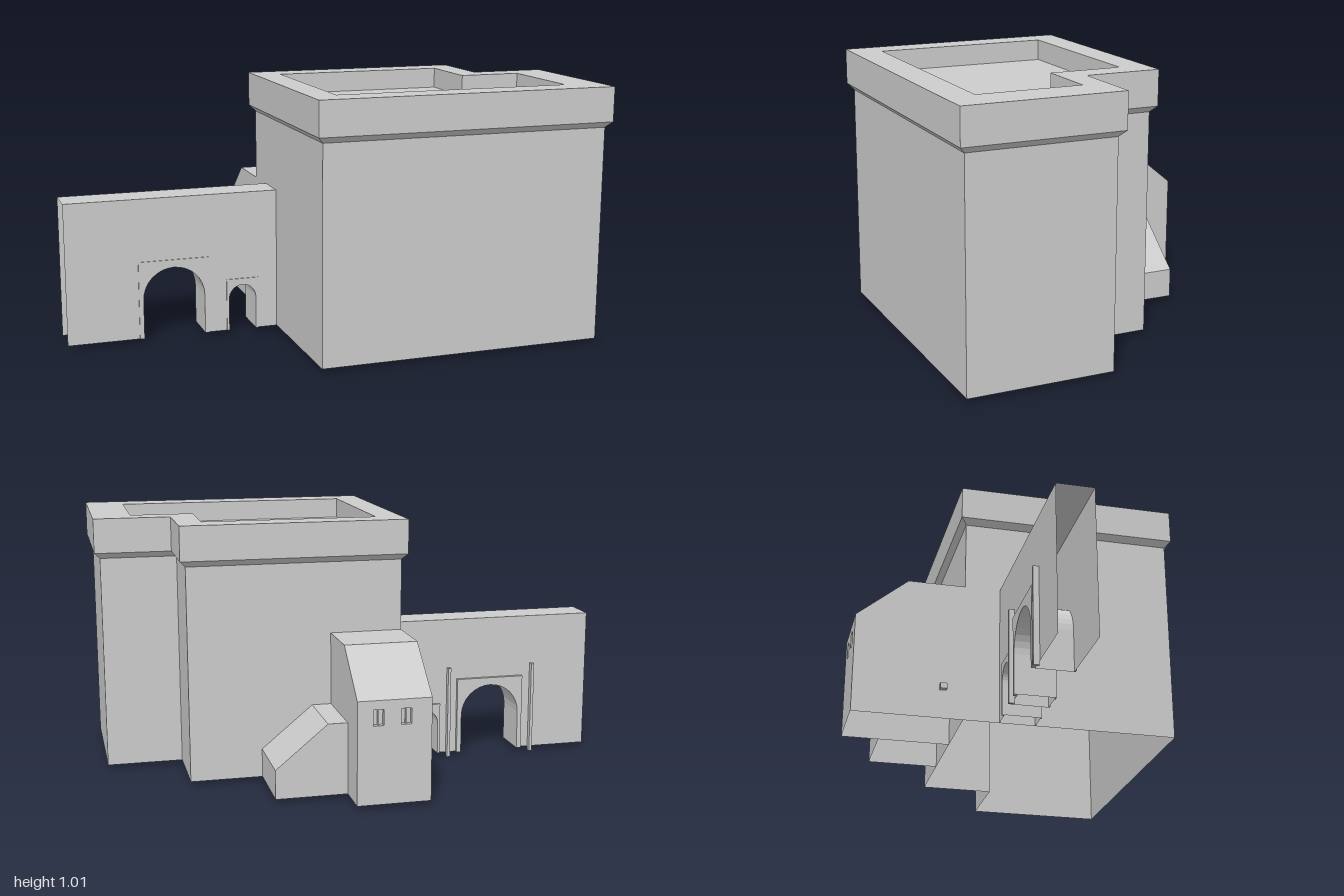
import * as THREE from 'three';

const material = new THREE.MeshStandardMaterial({ color: 0xcccccc, side: THREE.DoubleSide, flatShading: true });
const GROUND = 0.015;

function add(parent, name, geometry) {
  const mesh = new THREE.Mesh(geometry, material);
  mesh.name = name;
  parent.add(mesh);
  return mesh;
}

// Flat convex polygons (corners counter-clockwise from outside)
function faces(polygons) {
  const pos = [];
  for (const p of polygons)
    for (let i = 1; i < p.length - 1; i++) pos.push(...p[0], ...p[i], ...p[i + 1]);
  const g = new THREE.BufferGeometry();
  g.setAttribute('position', new THREE.Float32BufferAttribute(pos, 3));
  g.computeVertexNormals();
  return g;
}

// Shell through a stack of rings with equal corner counts
function loft(rings) {
  const quads = [];
  for (let r = 0; r < rings.length - 1; r++) {
    const a = rings[r], b = rings[r + 1];
    a.forEach((p, i) => {
      const j = (i + 1) % a.length;
      quads.push([p, a[j], b[j], b[i]]);
    });
  }
  return faces(quads);
}

// Round arch from left foot to right foot
function archPoints({ x0, x1, top }) {
  const r = (x1 - x0) / 2, cx = (x0 + x1) / 2, n = 16;
  const pts = [[x0, GROUND]];
  for (let i = 0; i <= n; i++) {
    const a = Math.PI * (1 - i / n);
    pts.push([cx + r * Math.cos(a), top - r + r * Math.sin(a)]);
  }
  pts.push([x1, GROUND]);
  return pts;
}

// Rectangular panel with arches cut up from its bottom edge
function archedShape(x0, x1, top, arches) {
  const pts = [[x0, GROUND], ...arches.flatMap(archPoints), [x1, GROUND], [x1, top], [x0, top]];
  return new THREE.Shape(pts.map(([x, y]) => new THREE.Vector2(x, y)));
}

function buildMainBlock(root) {
  const group = new THREE.Group();
  group.name = 'mainBuilding';
  root.add(group);
  const x0 = -0.157, x1 = 0.977, xn = 0.68, zf = 0.621, zn = 0.069, zb = -0.22;
  const ring = (d, y) => [
    [x0 - d, y, zf + d], [x1 + d, y, zf + d], [x1 + d, y, zn - d],
    [xn + d, y, zn - d], [xn + d, y, zb - d], [x0 - d, y, zb - d],
  ];
  const inner = y => [
    [-0.075, y, 0.53], [0.85, y, 0.53], [0.85, y, 0.14],
    [0.605, y, 0.14], [0.605, y, -0.135], [-0.075, y, -0.135],
  ];
  const d = 0.022;
  add(group, 'walls', loft([ring(0, GROUND), ring(0, 0.853)]));
  add(group, 'cornice', loft([ring(0, 0.853), ring(d, 0.876), ring(d, 1.01), inner(1.01), inner(0.93)]));
  const floor = new THREE.Shape(inner(0).map(([x, , z]) => new THREE.Vector2(x, -z)));
  add(group, 'roofFloor', new THREE.ShapeGeometry(floor).rotateX(-Math.PI / 2)).position.y = 0.93;
}

function buildGateWall(root) {
  const group = new THREE.Group();
  group.name = 'gateWall';
  root.add(group);
  const x0 = -1, x1 = -0.157, top = 0.575, zf = 0.06, zb = -0.08;
  const arches = [
    { x0: -0.70, x1: -0.455, top: 0.295, frameTop: 0.325, depth: 0.015 },
    { x0: -0.355, x1: -0.245, top: 0.2, frameTop: 0.225, depth: 0.01 },
  ];
  const shape = archedShape(x0, x1, top, arches);
  add(group, 'wallFront', new THREE.ShapeGeometry(shape)).position.z = zf;
  // Back panel, wound the other way
  const back = new THREE.ShapeGeometry(shape);
  back.index.array.reverse();
  for (let i = 0; i < back.attributes.normal.count; i++) back.attributes.normal.setZ(i, -1);
  add(group, 'wallBack', back).position.z = zb;
  add(group, 'wallTop', faces([[[x0, top, zf], [x1, top, zf], [x1, top, zb], [x0, top, zb]]]));

  for (const arch of arches) {
    const pts = archPoints(arch), quads = [];
    for (let i = 0; i < pts.length - 1; i++) {
      const [a, b] = [pts[i], pts[i + 1]];
      quads.push([[...a, zb], [...b, zb], [...b, zf], [...a, zf]]);
    }
    add(group, 'archPassage', faces(quads));
    // Thin surrounds on both sides of the wall
    const edge = arch.depth > 0.012 ? 0.018 : 0.01;
    const frame = archedShape(arch.x0 - edge, arch.x1 + edge, arch.frameTop, [arch]);
    const slab = depth => new THREE.ExtrudeGeometry(frame, { depth, bevelEnabled: false });
    add(group, 'archFrameFront', slab(0.004)).position.z = zf;
    add(group, 'archFrameBack', slab(arch.depth)).position.z = zb - arch.depth;
  }
  // Slim posts either side of the large arch
  for (const x of [-0.76, -0.40])
    add(group, 'post', new THREE.BoxGeometry(0.012, 0.375, 0.022)).position.set(x, 0.1875, -0.091);
}

function buildRearHouse(root) {
  const group = new THREE.Group();
  group.name = 'rearHouse';
  root.add(group);
  const x0 = -0.157, x1 = 0.125, zb = -0.645, zi = -0.22;
  const side = x => [[x, GROUND, zi], [x, GROUND, zb], [x, 0.41, zb], [x, 0.575, -0.445], [x, 0.575, zi]];
  const L = side(x1), R = side(x0);
  add(group, 'sideWalls', faces([L, [...R].reverse()]));
  add(group, 'roof', faces([[L[2], R[2], R[3], L[3]], [L[3], R[3], R[4], L[4]]]));

  // Back wall with two small recessed windows, drawn with x mirrored
  const rect = (a, b, c, d) => [[a, c], [b, c], [b, d], [a, d]];
  const path = (Type, pts) => new Type(pts.map(([x, y]) => new THREE.Vector2(x, y)));
  const wall = path(THREE.Shape, rect(-x1, -x0, GROUND, 0.41));
  const depth = 0.02;
  for (const cx of [-0.045, 0.06]) {
    const r = rect(cx - 0.02, cx + 0.02, 0.315, 0.375);
    wall.holes.push(path(THREE.Path, r));
    const at = z => r.map(([x, y]) => [-x, y, z]);
    const outer = at(zb), deep = at(zb + depth);
    add(group, 'windowRecess', faces([deep, ...outer.map((p, i) => {
      const j = (i + 1) % 4;
      return [p, outer[j], deep[j], deep[i]];
    })]));
    // Central glazing bar
    add(group, 'windowBar', new THREE.BoxGeometry(0.006, 0.06, 0.008)).position.set(-cx, 0.345, zb + 0.012);
  }
  const back = add(group, 'backWall', new THREE.ShapeGeometry(wall));
  back.rotation.y = Math.PI;
  back.position.z = zb;
  // Small spout on the side wall
  add(group, 'spout', new THREE.BoxGeometry(0.035, 0.022, 0.026)).position.set(-0.161, 0.14, -0.3);
}

function buildLeanTo(root) {
  // Low lean-to: short flat top, then a sloping roof
  const section = z => [[0.125, GROUND, z], [0.4, GROUND, z], [0.4, 0.127, z], [0.2, 0.292, z], [0.125, 0.292, z]];
  const f = section(-0.22), b = section(-0.5);
  const quads = [[...b].reverse()];
  for (let i = 1; i < 4; i++) quads.push([f[i], b[i], b[i + 1], f[i + 1]]);
  add(root, 'leanTo', faces(quads));
}

export function createModel() {
  const root = new THREE.Group();
  root.name = 'buildingGroup';
  buildMainBlock(root);
  buildGateWall(root);
  buildRearHouse(root);
  buildLeanTo(root);
  return root;
}
